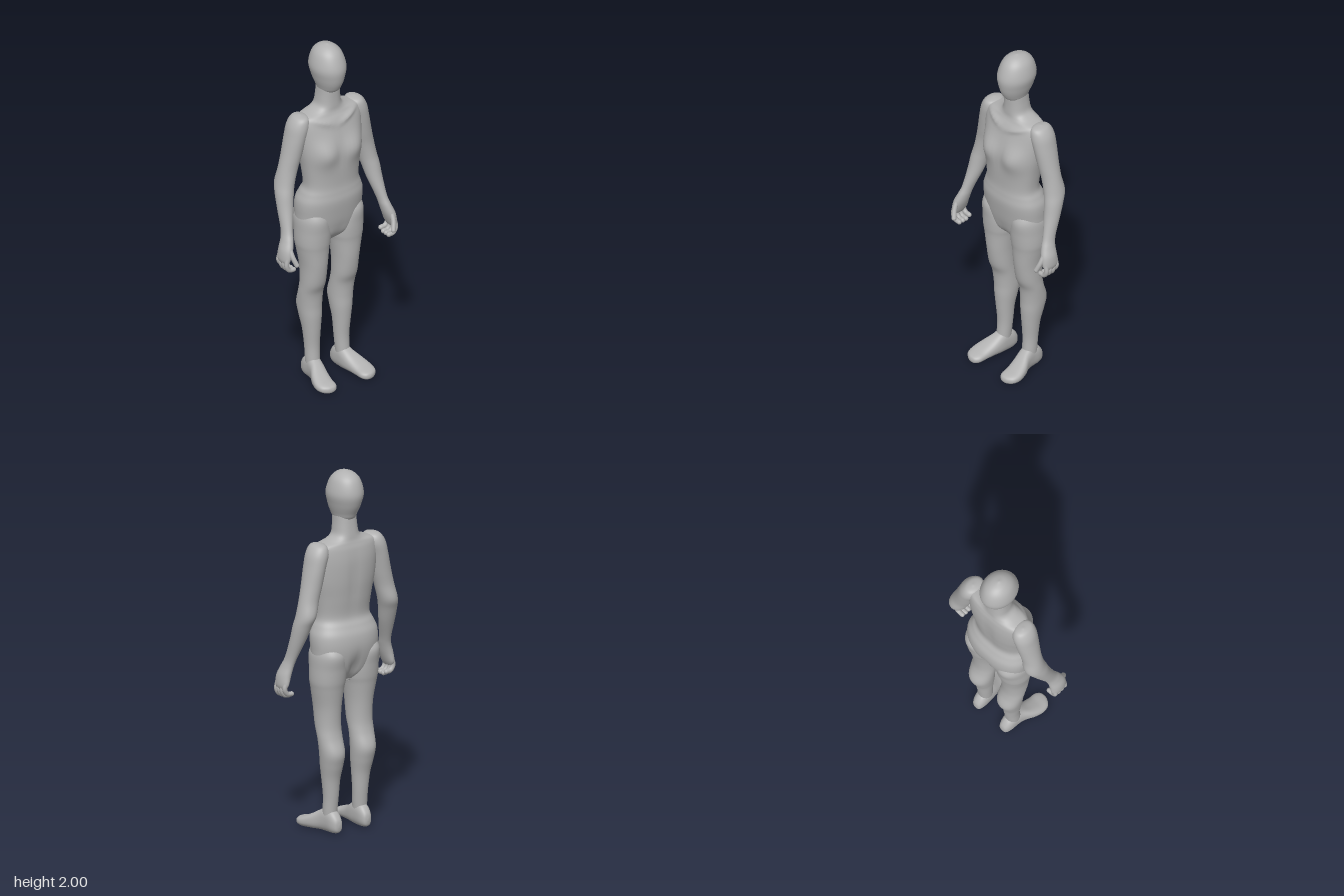
import * as THREE from 'three';

const SEGMENTS = 48;

// Smooth curve through a list of equal-length number rows
function sampleRows(rows, steps) {
  const out = [];
  const last = rows.length - 1;
  for (let n = 0; n <= last * steps; n++) {
    const k = Math.min(Math.floor(n / steps), last - 1);
    const t = n / steps - k;
    const at = (i) => rows[Math.max(0, Math.min(last, i))];
    const [a, b, c, d] = [at(k - 1), at(k), at(k + 1), at(k + 2)];
    out.push(b.map((_, i) => 0.5 * (2 * b[i] + (c[i] - a[i]) * t
      + (2 * a[i] - 5 * b[i] + 4 * c[i] - d[i]) * t * t
      + (3 * b[i] - a[i] - 3 * c[i] + d[i]) * t * t * t)));
  }
  return out;
}

// Body loft: each row is [position, x from, x to, depth from, depth to].
// Runs along y, or along z when alongZ is set (depth is then height).
function loft(rows, { side = 1, power = 2, alongZ = false, shape = null } = {}) {
  const sections = sampleRows(rows, 6);
  const pos = [];
  const index = [];
  const put = (t, x, d) => {
    const v = alongZ ? new THREE.Vector3(x, d, t) : new THREE.Vector3(x, t, d);
    if (shape) shape(v);
    pos.push(v.x * side, v.y, v.z);
  };
  const curve = (c) => Math.sign(c) * Math.pow(Math.abs(c), 2 / power);
  for (const [t, x0, x1, d0, d1] of sections) {
    for (let i = 0; i < SEGMENTS; i++) {
      const a = (i / SEGMENTS) * Math.PI * 2;
      put(t, (x0 + x1) / 2 + curve(Math.cos(a)) * (x1 - x0) / 2,
        (d0 + d1) / 2 + curve(Math.sin(a)) * (d1 - d0) / 2);
    }
  }
  const ends = [sections[0], sections[sections.length - 1]];
  for (const [t, x0, x1, d0, d1] of ends) put(t, (x0 + x1) / 2, (d0 + d1) / 2);

  let flip = rows[0][0] > rows[rows.length - 1][0];
  if (alongZ) flip = !flip;
  if (side < 0) flip = !flip;
  const face = (a, b, c) => (flip ? index.push(a, b, c) : index.push(a, c, b));
  const top = (sections.length - 1) * SEGMENTS;
  const cap = sections.length * SEGMENTS;
  for (let i = 0; i < SEGMENTS; i++) {
    const n = (i + 1) % SEGMENTS;
    for (let j = 0; j < top; j += SEGMENTS) {
      face(j + i, j + n, j + SEGMENTS + i);
      face(j + n, j + SEGMENTS + n, j + SEGMENTS + i);
    }
    face(cap, n, i);
    face(cap + 1, top + i, top + n);
  }
  const g = new THREE.BufferGeometry();
  g.setAttribute('position', new THREE.Float32BufferAttribute(pos, 3));
  g.setIndex(index);
  g.computeVertexNormals();
  return g;
}

const bell = (d, width) => Math.exp(-(d * d) / (width * width));

// Chest, collarbones, spine and seat modelled onto the plain torso
function sculptTorso(v) {
  const x = Math.abs(v.x);
  if (v.z > -0.02) {
    const front = Math.min(1, (v.z + 0.02) / 0.06);
    v.z += front * 0.034 * bell(x - 0.09, 0.075) * bell(v.y - 1.4, 0.075);
    v.z += front * 0.012 * bell(v.y - 1.545 - x * 0.4, 0.016) * bell(x - 0.09, 0.08);
    v.z -= front * 0.008 * bell(x, 0.03) * bell(v.y - 0.88, 0.06);
  } else if (v.z < -0.08) {
    v.z += 0.008 * bell(x, 0.03) * bell(v.y - 1.4, 0.16);
    v.z += 0.03 * bell(x, 0.025) * bell(v.y - 0.9, 0.08);
  }
}

const torsoRows = [
  [0.83, 0.025, -0.08, -0.01], [0.88, 0.12, -0.125, 0.045], [0.95, 0.185, -0.152, 0.066],
  [1.03, 0.197, -0.166, 0.08], [1.1, 0.197, -0.161, 0.088], [1.15, 0.18, -0.14, 0.084],
  [1.2, 0.163, -0.12, 0.08], [1.3, 0.172, -0.13, 0.082], [1.4, 0.188, -0.14, 0.073],
  [1.5, 0.198, -0.142, 0.06], [1.57, 0.2, -0.135, 0.043], [1.605, 0.185, -0.126, 0.026],
  [1.625, 0.115, -0.121, 0.02], [1.65, 0.075, -0.118, 0.019], [1.7, 0.064, -0.112, 0.018],
  [1.77, 0.06, -0.105, 0.02],
].map(([y, w, back, front]) => [y, -w, w, back, front]);

const headRows = [
  [1.718, 0.004, -0.05, -0.04], [1.735, 0.05, -0.105, 0.02], [1.77, 0.067, -0.126, 0.046],
  [1.82, 0.083, -0.15, 0.062], [1.88, 0.094, -0.163, 0.066], [1.95, 0.076, -0.143, 0.038],
  [1.986, 0.043, -0.105, 0.0], [2.0, 0.003, -0.053, -0.045],
].map(([y, w, back, front]) => [y, -w, w, back, front]);

const legRows = [
  [1.06, 0.06, 0.17, -0.12, 0.04], [1.0, 0.03, 0.196, -0.158, 0.07],
  [0.92, 0.012, 0.2, -0.149, 0.068], [0.85, 0.013, 0.2, -0.14, 0.063],
  [0.8, 0.022, 0.192, -0.13, 0.057], [0.7, 0.033, 0.176, -0.115, 0.05],
  [0.6, 0.036, 0.172, -0.11, 0.034], [0.53, 0.036, 0.172, -0.12, 0.008],
  [0.45, 0.036, 0.168, -0.145, 0.0], [0.38, 0.041, 0.16, -0.132, 0.0],
  [0.3, 0.05, 0.148, -0.11, -0.005], [0.2, 0.056, 0.138, -0.098, -0.012],
  [0.12, 0.06, 0.137, -0.09, -0.008], [0.05, 0.065, 0.135, -0.085, 0.0],
];

const footRows = [
  [-0.13, 0.09, 0.1, 0.04, 0.055], [-0.122, 0.072, 0.12, 0.012, 0.085],
  [-0.09, 0.061, 0.134, 0.002, 0.12], [-0.04, 0.059, 0.14, 0.001, 0.135],
  [0.0, 0.061, 0.15, 0.002, 0.118], [0.05, 0.069, 0.175, 0.002, 0.087],
  [0.1, 0.077, 0.187, 0.001, 0.064], [0.14, 0.081, 0.179, 0.003, 0.052],
  [0.163, 0.098, 0.152, 0.008, 0.042], [0.17, 0.118, 0.128, 0.02, 0.028],
];

const armRows = [
  [1.625, 0.175, 0.185, -0.06, -0.05], [1.613, 0.14, 0.218, -0.105, 0.0],
  [1.57, 0.13, 0.246, -0.125, 0.014], [1.5, 0.15, 0.263, -0.126, 0.011],
  [1.4, 0.172, 0.285, -0.12, 0.0], [1.32, 0.195, 0.304, -0.118, -0.008],
  [1.24, 0.217, 0.322, -0.127, -0.005], [1.18, 0.234, 0.332, -0.105, 0.005],
  [1.1, 0.252, 0.336, -0.073, 0.02], [1.0, 0.282, 0.34, -0.03, 0.048],
  [0.95, 0.293, 0.352, -0.015, 0.07], [0.9, 0.306, 0.37, -0.012, 0.088],
  [0.85, 0.325, 0.375, -0.013, 0.09], [0.825, 0.338, 0.368, 0.0, 0.078],
];

export function createModel() {
  const model = new THREE.Group();
  const grey = new THREE.MeshStandardMaterial({ color: 0xb2b2b2 });
  grey.name = 'plain grey';

  const add = (name, geometry, parent = model) => {
    const mesh = new THREE.Mesh(geometry, grey);
    mesh.name = name;
    parent.add(mesh);
  };

  // A finger is a bent tube with a round tip
  const addFinger = (name, points, radius, side, parent) => {
    const path = points.map(([x, y, z]) => new THREE.Vector3(x * side, y, z));
    add(name, new THREE.TubeGeometry(new THREE.CatmullRomCurve3(path), 12, radius, 12), parent);
    const tip = path[path.length - 1];
    add(name + 'Tip', new THREE.SphereGeometry(radius, 12, 10).translate(tip.x, tip.y, tip.z), parent);
  };

  add('torsoAndNeck', loft(torsoRows, { power: 2.3, shape: sculptTorso }));
  add('head', loft(headRows));

  for (const side of [1, -1]) {
    const prefix = side > 0 ? 'left' : 'right';
    add(prefix + 'Leg', loft(legRows, { side, power: 2.1 }));
    add(prefix + 'Foot', loft(footRows, { side, power: 2.4, alongZ: true }));
    add(prefix + 'Arm', loft(armRows, { side }));

    // Curled fingers and thumb
    const fingers = new THREE.Group();
    fingers.name = prefix + 'Fingers';
    model.add(fingers);
    for (let i = 0; i < 4; i++) {
      const z = 0.003 + i * 0.024;
      const drop = i === 0 ? 0.012 : 0;
      addFinger('finger', [[0.352, 0.86, z], [0.359, 0.815 + drop, z],
        [0.342, 0.788 + drop, z], [0.314, 0.784 + drop, z]], 0.0135, side, fingers);
    }
    addFinger('thumb', [[0.335, 0.92, 0.065], [0.332, 0.87, 0.092],
      [0.318, 0.825, 0.11]], 0.0135, side, fingers);
  }
  return model;
}
